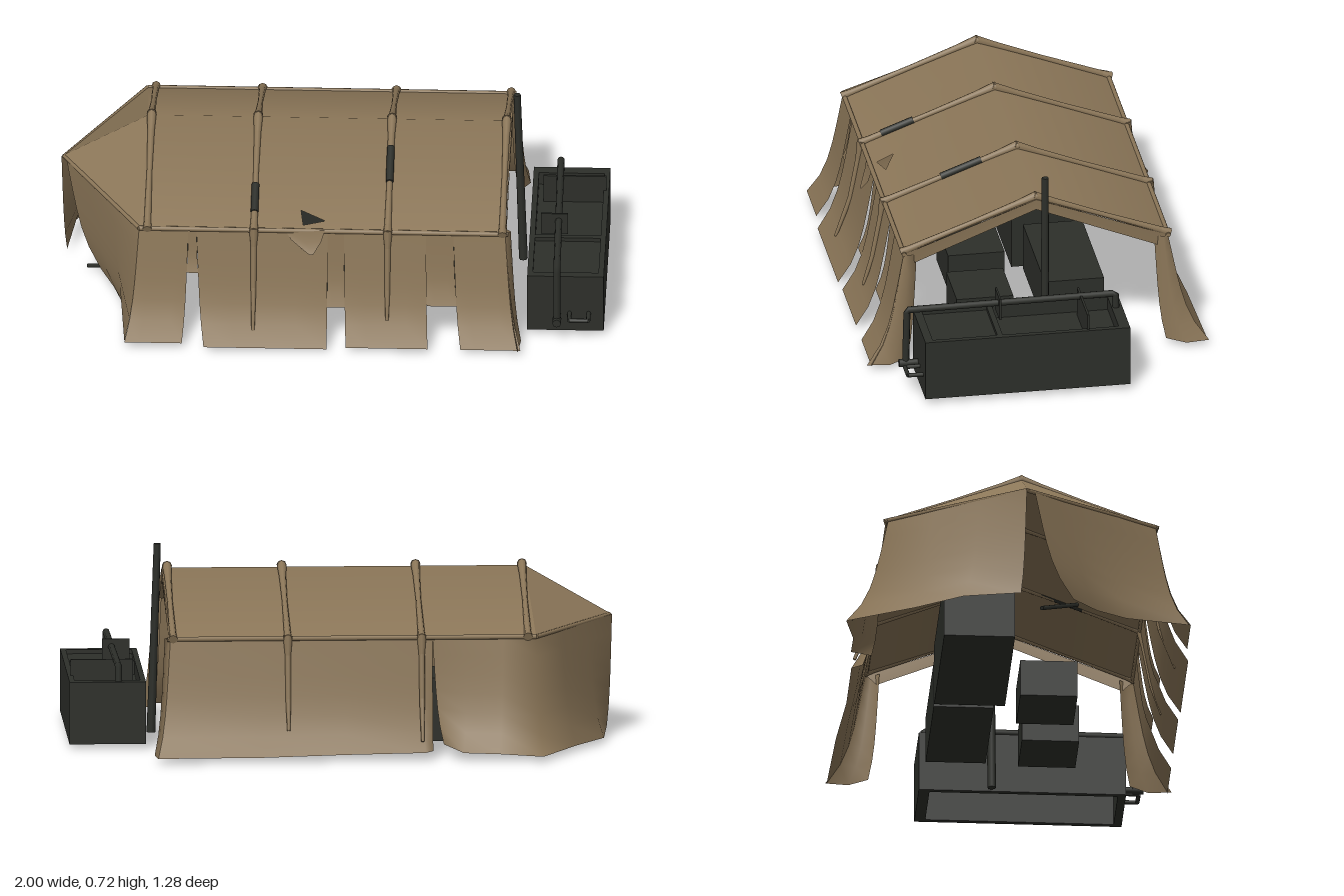
import * as THREE from 'three';

const canvas = new THREE.MeshStandardMaterial({ color: 0x8b7658, side: THREE.DoubleSide });
const darkMetal = new THREE.MeshStandardMaterial({ color: 0x2d2f2a });

const EAVE = 0.44, RIDGE = 0.625, HALF = 0.49;
const V = (x, y, z) => new THREE.Vector3(x, y, z);

export function createModel() {
  const model = new THREE.Group();
  const add = (geo, mat, name) => {
    const m = new THREE.Mesh(geo, mat);
    m.name = name;
    model.add(m);
    return m;
  };
  const box = (x0, x1, y0, y1, z0, z1, name) =>
    add(new THREE.BoxGeometry(x1 - x0, y1 - y0, z1 - z0), darkMetal, name)
      .position.set((x0 + x1) / 2, (y0 + y1) / 2, (z0 + z1) / 2);

  // Tapered round bar between two points
  const bar = (a, b, r0, r1, mat, name) => {
    const d = b.clone().sub(a);
    const m = add(new THREE.CylinderGeometry(r1, r0, d.length(), 8), mat, name);
    m.position.copy(a).add(b).multiplyScalar(0.5);
    m.quaternion.setFromUnitVectors(V(0, 1, 0), d.normalize());
  };
  const pads = (pts, radii, name) => {
    for (let i = 0; i + 1 < pts.length; i++) bar(pts[i], pts[i + 1], radii[i], radii[i + 1], canvas, name);
  };

  // Cloth hung from a top line to a bottom line, flaring out towards the hem
  const flare = v => 0.57 * v + 0.43 * v ** 5;
  const cloth = (top, bottom, name, rows = 6) => {
    const pos = [], idx = [], n = top.length;
    for (let r = 0; r <= rows; r++) {
      const v = r / rows, f = flare(v);
      for (let i = 0; i < n; i++) {
        const a = top[i], b = bottom[i];
        pos.push(a.x + (b.x - a.x) * f, a.y + (b.y - a.y) * v, a.z + (b.z - a.z) * f);
        if (r && i) {
          const k = r * n + i;
          idx.push(k - n - 1, k - 1, k, k - n - 1, k, k - n);
        }
      }
    }
    const g = new THREE.BufferGeometry();
    g.setAttribute('position', new THREE.Float32BufferAttribute(pos, 3));
    g.setIndex(idx);
    g.computeVertexNormals();
    add(g, canvas, name);
  };
  const sideZ = y => HALF + 0.13 * flare((EAVE - y) / 0.42);

  // Roof slopes, smooth over the ridge, the front one with a small tear
  for (const s of [1, -1]) {
    const shape = new THREE.Shape([[-0.68, 0], [0.65, 0], [0.64, 1], [-0.7, 1]].map(p => new THREE.Vector2(...p)));
    if (s > 0) shape.holes.push(new THREE.Path([[-0.11, 0.82], [-0.02, 0.91], [-0.1, 0.95]].map(p => new THREE.Vector2(...p))));
    const g = new THREE.ShapeGeometry(shape);
    const p = g.attributes.position, normal = g.attributes.normal;
    for (let i = 0; i < p.count; i++) {
      const t = p.getY(i), n = V(0, 1, s * 0.4 * t).normalize();
      p.setXYZ(i, p.getX(i), RIDGE - (RIDGE - EAVE) * t, s * HALF * t);
      normal.setXYZ(i, n.x, n.y, n.z);
    }
    if (s > 0) g.index.array.reverse();
    add(g, canvas, s > 0 ? 'roofFront' : 'roofBack');
    // Pointed end of the roof
    const hem = [V(-1, EAVE, 0), V(-0.7, EAVE, s * HALF)];
    cloth([V(-0.68, RIDGE, 0), V(-0.68, RIDGE, 0)], s > 0 ? hem : hem.reverse(), 'hipRoof', 1);
    // Eave seams
    bar(V(-0.7, EAVE, s * HALF), V(0.65, EAVE, s * HALF), 0.009, 0.009, canvas, 'eaveSeam');
    bar(V(-0.99, EAVE, 0), V(-0.7, EAVE, s * HALF), 0.008, 0.008, canvas, 'hipSeam');
  }
  cloth([V(-0.17, EAVE + 0.01, 0.49), V(-0.1, EAVE, 0.5), V(-0.02, EAVE + 0.01, 0.5)],
    [V(-0.08, 0.365, 0.53), V(-0.07, 0.36, 0.53), V(-0.06, 0.365, 0.53)], 'tornFlap', 2);

  // Front wall: cells [topLeft, topRight, bottomLeft, bottomRight, hem height]
  for (const [a, b, c, d, y] of [
    [-0.7, -0.52, -0.75, -0.54, 0.025], [-0.52, -0.49, -0.525, -0.483, 0.27],
    [-0.49, -0.01, -0.46, -0.01, 0.015], [-0.01, 0.05, -0.01, 0.055, 0.15],
    [0.05, 0.35, 0.06, 0.36, 0.02], [0.35, 0.45, 0.355, 0.465, 0.16],
    [0.45, 0.64, 0.48, 0.7, 0.02]]) {
    const top = [], bottom = [];
    for (let i = 0; i <= 4; i++) {
      top.push(V(a + (b - a) * i / 4, EAVE, HALF));
      bottom.push(V(c + (d - c) * i / 4, y, sideZ(y)));
    }
    cloth(top, bottom, 'frontWall');
  }

  // Back wall, running on round one side of the pointed end
  cloth([V(0.64, EAVE, -HALF), V(0.3, EAVE, -HALF), V(0, EAVE, -HALF), V(-0.28, EAVE, -HALF), V(-0.32, EAVE, -HALF)],
    [V(0.69, 0.02, -0.63), V(0.3, 0.02, -0.62), V(0, 0.025, -0.6), V(-0.29, 0.03, -0.6), V(-0.32, 0.03, -0.56)], 'backWall');
  cloth([V(-0.32, EAVE, -HALF), V(-0.45, EAVE, -HALF), V(-0.58, EAVE, -HALF), V(-0.7, EAVE, -HALF),
    V(-0.8, EAVE, -0.33), V(-0.9, EAVE, -0.165), V(-1, EAVE, 0)],
  [V(-0.36, 0.05, -0.53), V(-0.43, 0.03, -0.61), V(-0.56, 0.025, -0.61), V(-0.72, 0.02, -0.645),
    V(-0.85, 0.02, -0.4), V(-0.96, 0.02, -0.23), V(-0.98, 0.03, -0.02)], 'backLeftWall');

  // Doorway curtain drawn back in the open half of the pointed end
  cloth([V(-0.98, EAVE, 0.03), V(-0.9, EAVE, 0.16), V(-0.8, EAVE, 0.33), V(-0.7, EAVE, HALF)],
    [V(-0.85, 0.07, 0.18), V(-0.8, 0.05, 0.27), V(-0.76, 0.04, 0.38), V(-0.75, 0.025, 0.61)], 'doorCurtain');

  // Open end: gathered corner folds and gable trim
  for (const s of [1, -1]) {
    cloth([V(0.64, EAVE, s * HALF), V(0.66, EAVE, s * 0.47), V(0.63, EAVE, s * 0.44)],
      [V(0.69, 0.02, s * 0.635), V(0.7, 0.02, s * 0.55), V(0.66, 0.025, s * 0.48)], 'cornerFold');
    cloth([V(0.65, RIDGE, 0), V(0.645, EAVE, s * HALF)], [V(0.65, RIDGE - 0.04, 0), V(0.64, EAVE - 0.04, s * 0.45)], 'gableTrim', 1);
  }

  // Padded ribs over the roof and down the walls
  [-0.67, -0.28, 0.21, 0.63].forEach((x, i) => {
    const end = i === 0 || i === 3;
    for (const s of [1, -1]) {
      const on = t => V(x, RIDGE + 0.005 - (RIDGE - EAVE) * t, s * HALF * t);
      pads([on(-0.015), on(0.15), on(0.5), on(0.95), on(1.02)], [0.018, 0.013, 0.01, 0.013, 0.017], 'roofRib');
      const low = i === 1 ? 0.07 : 0.11;
      if (!end) pads([0.45, 0.38, 0.22, low].map(y => V(x, y, s * (sideZ(y) + 0.003))),
        [0.018, 0.011, 0.01, 0.006], 'wallRib');
    }
  });

  // Dark straps on the front roof ribs
  for (const [x, z0, z1] of [[-0.28, 0.3, 0.42], [0.21, 0.13, 0.28]]) {
    const p = z => V(x, RIDGE + 0.008 - (RIDGE - EAVE) * z / HALF, z);
    bar(p(z0), p(z1), 0.014, 0.014, darkMetal, 'roofStrap');
  }

  // Benches and crates inside
  box(0, 0.48, 0.02, 0.2, -0.28, -0.06, 'bench');
  box(-0.62, -0.02, 0.02, 0.255, -0.28, -0.02, 'tallBench');
  box(-0.12, 0.13, 0.02, 0.16, 0.03, 0.24, 'middleCrate');
  box(0.27, 0.5, 0.02, 0.165, 0.06, 0.27, 'frontCrate');
  bar(V(-0.9, 0.008, 0.06), V(-0.74, 0.1, 0.2), 0.008, 0.008, darkMetal, 'leaningPole');

  // Stove chimney
  bar(V(0.69, 0.02, -0.025), V(0.667, 0.72, -0.03), 0.016, 0.013, darkMetal, 'chimney');

  // Heater unit: open casing with recessed top
  box(0.72, 0.74, 0.02, 0.25, -0.29, 0.47, 'casingSide');
  box(0.98, 1, 0.02, 0.25, -0.29, 0.47, 'casingSide');
  box(0.74, 0.98, 0.02, 0.25, -0.29, -0.25, 'casingEnd');
  box(0.74, 0.98, 0.02, 0.25, 0.44, 0.47, 'casingEnd');
  box(0.74, 0.98, 0.17, 0.2, -0.25, 0.18, 'casingDeck');
  box(0.74, 0.98, 0.2, 0.235, 0.2, 0.44, 'casingLid');
  box(0.72, 1, 0.17, 0.25, 0.18, 0.2, 'casingDivider');
  box(0.76, 0.86, 0.25, 0.335, 0.165, 0.172, 'pipeBracket');
  box(0.76, 0.99, 0.2, 0.31, -0.14, -0.132, 'pipeBracket');

  // Exhaust pipe and handle
  const path = new THREE.CurvePath();
  const run = [V(0.83, 0.09, 0.46), V(0.83, 0.09, 0.515), V(0.83, 0.305, 0.51), V(0.82, 0.305, -0.265), V(0.82, 0.2, -0.268)];
  run.slice(1).forEach((p, i) => path.add(new THREE.LineCurve3(run[i], p)));
  add(new THREE.TubeGeometry(path, 80, 0.013, 8), darkMetal, 'exhaustPipe');
  bar(V(0.83, 0.09, 0.5), V(0.83, 0.09, 0.54), 0.016, 0.016, darkMetal, 'pipeEnd');
  const grip = [V(0.875, 0.095, 0.46), V(0.875, 0.095, 0.525), V(0.945, 0.095, 0.525), V(0.945, 0.095, 0.46)];
  grip.slice(1).forEach((p, i) => bar(grip[i], p, 0.008, 0.008, darkMetal, 'handle'));

  return model;
}
